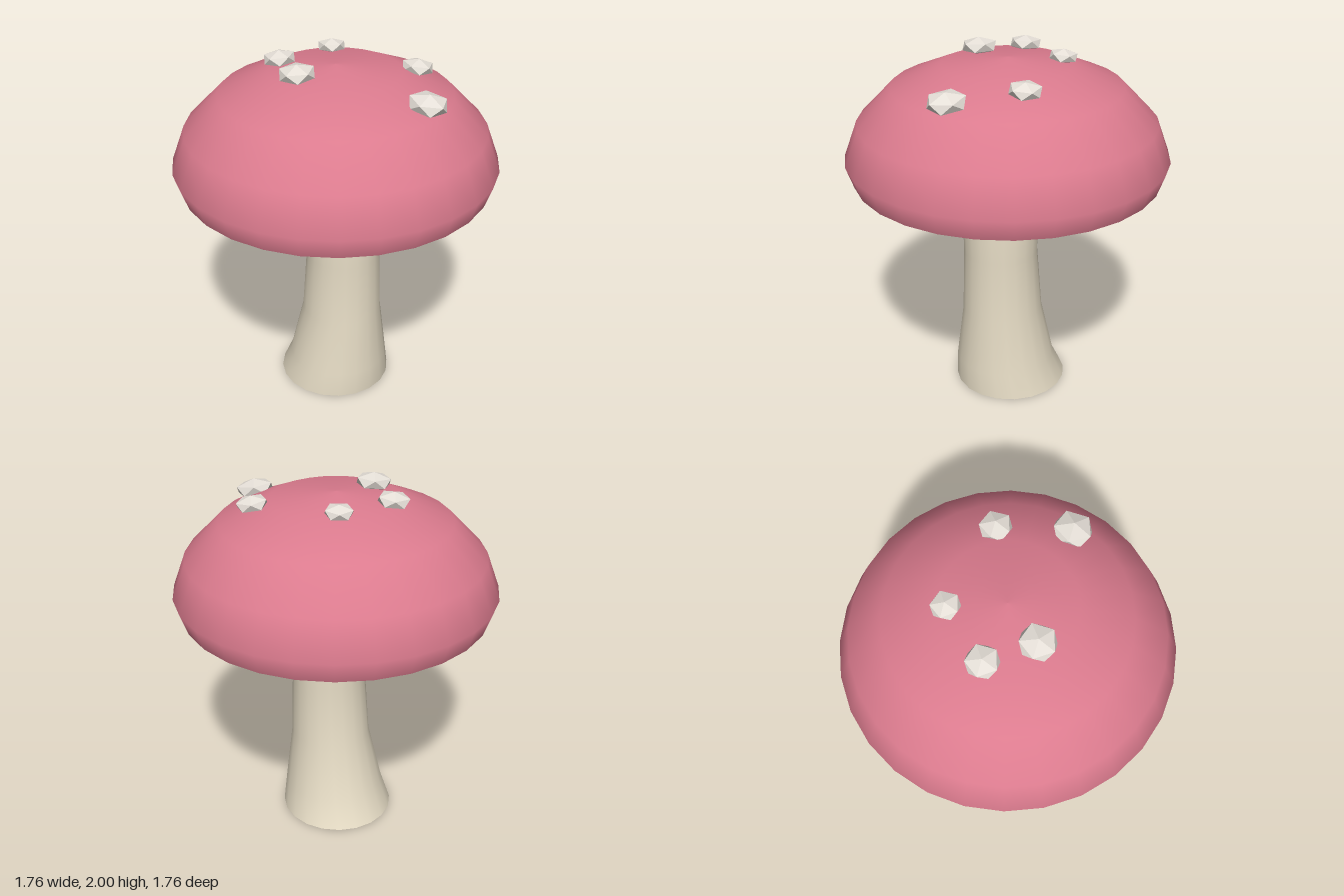
import * as THREE from 'three';

const material = (color, extra = {}) => new THREE.MeshStandardMaterial({ color, ...extra });

function addMesh(parent, name, geometry, mat) {
  const mesh = new THREE.Mesh(geometry, mat);
  mesh.name = name;
  parent.add(mesh);
  return mesh;
}

const lathe = (points, segments) =>
  new THREE.LatheGeometry(points.map(([r, y]) => new THREE.Vector2(r, y)), segments);

// Open tube through elliptical rings: [y, minX, maxX, minZ, maxZ]
function stemGeometry(rings, sides) {
  const geometry = new THREE.CylinderGeometry(1, 1, 1, sides, rings.length - 1, true);
  const pos = geometry.attributes.position;
  const top = rings.length - 1;
  for (let i = 0; i < pos.count; i++) {
    const [y, x0, x1, z0, z1] = rings[Math.round((pos.getY(i) + 0.5) * top)];
    pos.setXYZ(i,
      (x0 + x1) / 2 + pos.getX(i) * (x1 - x0) / 2,
      y,
      (z0 + z1) / 2 + pos.getZ(i) * (z1 - z0) / 2);
  }
  geometry.computeVertexNormals();
  // Share normals across the seam
  const normal = geometry.attributes.normal;
  for (let row = 0; row <= top; row++) {
    const a = row * (sides + 1), b = a + sides;
    const n = new THREE.Vector3().fromBufferAttribute(normal, a)
      .add(new THREE.Vector3().fromBufferAttribute(normal, b)).normalize();
    normal.setXYZ(a, n.x, n.y, n.z);
    normal.setXYZ(b, n.x, n.y, n.z);
  }
  return geometry;
}

// Shallow cone folded into radial pleats
function gillGeometry(pleats) {
  const profile = [[0.23, 1.4], [0.69, 1.32]];
  const geometry = lathe(profile, pleats * 2);
  const pos = geometry.attributes.position;
  for (let i = 0; i < pos.count; i++) {
    const column = Math.floor(i / profile.length);
    if (column % 2 === 0) continue;
    const outer = i % profile.length === 1;
    const scale = outer ? 0.96 : 1;
    pos.setXYZ(i, pos.getX(i) * scale, pos.getY(i) + (outer ? 0.02 : 0.008), pos.getZ(i) * scale);
  }
  geometry.computeVertexNormals();
  return geometry;
}

export function createModel() {
  const model = new THREE.Group();
  model.name = 'mushroom';
  const pink = material(0xdb7b8e);
  const cream = material(0xe6dcc5, { side: THREE.DoubleSide });
  const gillColor = material(0xd6c6a8, { side: THREE.DoubleSide, flatShading: true });
  const spotColor = material(0xe6e0d8, { flatShading: true });

  // Stem, flared and leaning at the foot
  addMesh(model, 'stem', stemGeometry([
    [0, -0.34, 0.305, -0.325, 0.31],
    [0.15, -0.265, 0.305, -0.285, 0.28],
    [0.48, -0.185, 0.275, -0.23, 0.215],
    [0.85, -0.15, 0.265, -0.215, 0.2],
    [1.2, -0.165, 0.27, -0.22, 0.205],
    [1.3, -0.165, 0.235, -0.2, 0.19],
    [1.44, -0.15, 0.18, -0.17, 0.16],
  ], 20), cream);

  // Cap: smooth dome, flat rim and hollow underside
  const cap = new THREE.Group();
  cap.name = 'cap';
  model.add(cap);
  addMesh(cap, 'dome', lathe([
    [0.84, 1.3], [0.88, 1.415], [0.807, 1.61], [0.62, 1.8], [0.35, 1.913], [0, 1.95],
  ], 28), pink);
  addMesh(cap, 'rim', lathe([[0.705, 1.3], [0.84, 1.3]], 28), pink);
  addMesh(cap, 'innerWall', lathe([[0.69, 1.37], [0.705, 1.3]], 28), pink);
  addMesh(cap, 'underside', lathe([[0, 1.46], [0.23, 1.44], [0.69, 1.37]], 28), pink);
  addMesh(cap, 'gills', gillGeometry(24), gillColor);

  // Spots: flattened icosahedra, point up, tipped slightly outward
  const spotGeometry = new THREE.IcosahedronGeometry(1, 0);
  spotGeometry.rotateZ(Math.atan(2 / (1 + Math.sqrt(5))));
  spotGeometry.rotateY(Math.PI);
  const up = new THREE.Vector3(0, 1, 0);
  [
    [0.525, 1.857, -0.155, 0.111],
    [-0.01, 1.955, 0.245, 0.103],
    [-0.27, 1.942, 0.16, 0.093],
    [-0.24, 1.945, -0.17, 0.082],
    [0.215, 1.905, -0.38, 0.092],
  ].forEach(([x, y, z, r], i) => {
    const spot = addMesh(cap, `spot${i + 1}`, spotGeometry, spotColor);
    spot.position.set(x, y, z);
    spot.scale.set(r, r * 0.46, r);
    spot.quaternion.setFromUnitVectors(up, new THREE.Vector3(x * 0.3, 1, z * 0.3).normalize());
  });

  return model;
}
